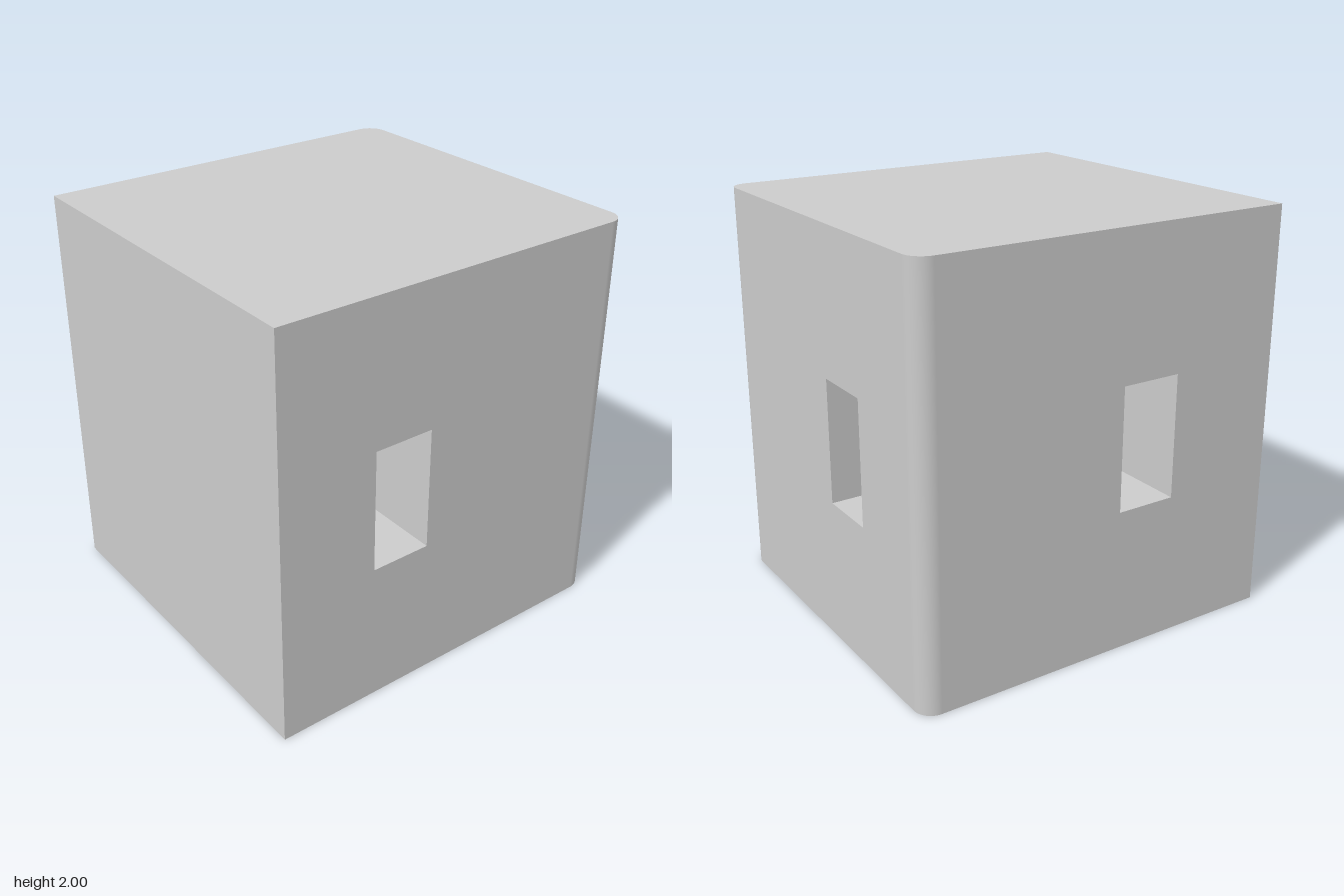
import * as THREE from 'three';
import { mergeGeometries } from 'three/addons/utils/BufferGeometryUtils.js';

const HX = 0.9, HZ = 0.95, H = 2, R = 0.09;          // half width, half depth, height, corner radius
const SLOT_W = 0.3, SLOT_H = 0.6, SLOT_D = 0.6;      // blind slots, centred at mid height

// Turn a geometry inside out
function flip(geo) {
  const index = Array.from(geo.index.array).reverse();
  geo.setIndex(index);
  const n = geo.attributes.normal;
  for (let i = 0; i < n.array.length; i++) n.array[i] *= -1;
  return geo;
}

// Inner walls of a slot: a box seen from inside, open towards +z
function pocket(x) {
  const box = new THREE.BoxGeometry(SLOT_W, SLOT_H, SLOT_D);
  const index = Array.from(box.index.array);
  index.splice(24, 6);
  box.setIndex(index);
  box.clearGroups();
  return flip(box).translate(x, H / 2, -SLOT_D / 2);
}

// Upright panel from x0 to x1, facing +z before turning, with an optional slot
function wall(x0, x1, distance, turn, slotX) {
  const shape = new THREE.Shape([
    new THREE.Vector2(x0, 0), new THREE.Vector2(x1, 0),
    new THREE.Vector2(x1, H), new THREE.Vector2(x0, H),
  ]);
  const parts = [];
  if (slotX !== undefined) {
    const a = slotX - SLOT_W / 2, b = slotX + SLOT_W / 2;
    const c = (H - SLOT_H) / 2, d = (H + SLOT_H) / 2;
    shape.holes.push(new THREE.Path([
      new THREE.Vector2(a, c), new THREE.Vector2(a, d),
      new THREE.Vector2(b, d), new THREE.Vector2(b, c),
    ]));
    parts.push(pocket(slotX));
  }
  parts.push(new THREE.ShapeGeometry(shape));
  return parts.map((g) => g.translate(0, 0, distance).rotateY(turn));
}

// Plan outline, square at the front and rounded at the back
function lid() {
  const s = new THREE.Shape();
  s.moveTo(-HX, -HZ);
  s.lineTo(HX, -HZ);
  s.lineTo(HX, HZ - R);
  s.absarc(HX - R, HZ - R, R, 0, Math.PI / 2, false);
  s.lineTo(-HX + R, HZ);
  s.absarc(-HX + R, HZ - R, R, Math.PI / 2, Math.PI, false);
  return new THREE.ShapeGeometry(s, 8).rotateX(-Math.PI / 2);
}

function backCorner(x, start) {
  return new THREE.CylinderGeometry(R, R, H, 16, 1, true, start, Math.PI / 2)
    .translate(x, H / 2, -HZ + R);
}

export function createModel() {
  const group = new THREE.Group();
  group.name = 'slottedBlock';

  const body = mergeGeometries([
    ...wall(-HX, HX, HZ, 0),                              // front
    ...wall(-HZ, HZ - R, HX, Math.PI / 2, -0.31),         // +x side
    ...wall(-HZ + R, HZ, HX, -Math.PI / 2, 0.23),         // -x side
    ...wall(-HX + R, HX - R, HZ, Math.PI, 0.25),          // back
    backCorner(HX - R, Math.PI / 2),
    backCorner(-HX + R, Math.PI),
    lid().translate(0, H, 0),                             // top
    flip(lid()),                                          // bottom
  ]);

  const mesh = new THREE.Mesh(body, new THREE.MeshStandardMaterial({ color: 0xcccccc }));
  mesh.name = 'body';
  group.add(mesh);
  return group;
}
